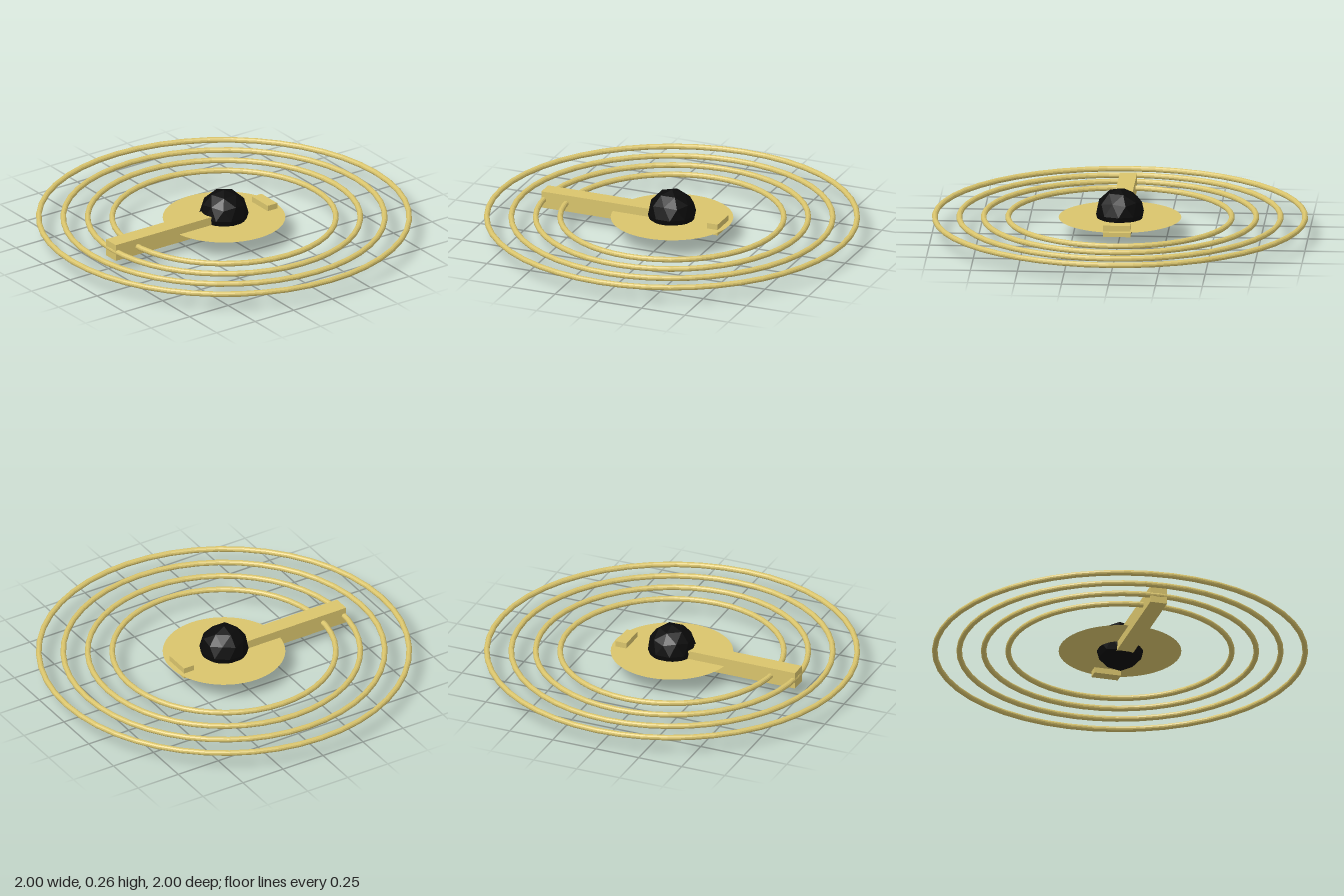
import * as THREE from 'three';

const gold = new THREE.MeshStandardMaterial({ color: 0xd9c46c, flatShading: true, side: THREE.DoubleSide });
const black = new THREE.MeshStandardMaterial({ color: 0x0a0a0a, flatShading: true });
const PLANE_Y = 0.105; // height shared by all flat parts

export function createModel() {
  const group = new THREE.Group();

  const add = (name, geometry, material, x, y, z) => {
    const mesh = new THREE.Mesh(geometry, material);
    mesh.name = name;
    mesh.position.set(x, y, z);
    group.add(mesh);
    return mesh;
  };

  // Four concentric rings
  [0.985, 0.855, 0.725, 0.595].forEach((radius, i) => {
    const ring = new THREE.TorusGeometry(radius, 0.015, 12, 48).rotateX(-Math.PI / 2);
    add(`ring${i + 1}`, ring, gold, 0, PLANE_Y, 0);
  });

  // Thin centre disc
  add('disc', new THREE.CircleGeometry(0.326, 64).rotateX(-Math.PI / 2), gold, 0, PLANE_Y, 0);

  // Faceted ball, one corner turned straight up
  const ball = new THREE.IcosahedronGeometry(0.131, 1).rotateZ(Math.atan(2 / (1 + Math.sqrt(5))));
  add('centreBall', ball, black, 0, 0.132, 0);

  // Long arm to the front and small block at the back
  add('arm', new THREE.BoxGeometry(0.092, 0.092, 0.735), gold, 0, PLANE_Y, 0.3675);
  add('rearBlock', new THREE.BoxGeometry(0.146, 0.062, 0.062), gold, 0, PLANE_Y, -0.264);

  return group;
}
